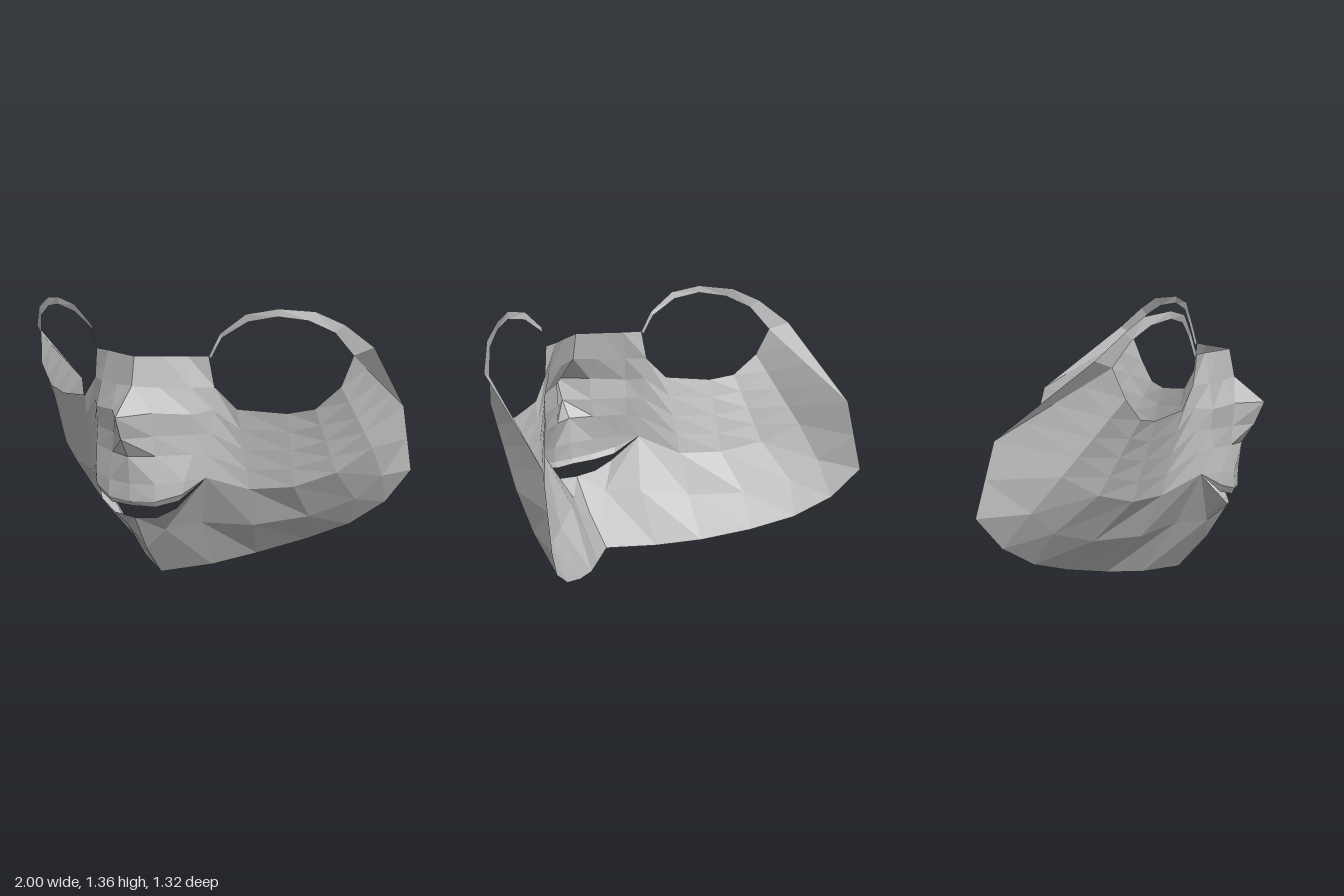
import * as THREE from 'three';

// Key lines on the model's left half (+x); everything is mirrored.
const corner = [0.315, 0.545, 0.343];
const sideTop = [0.98, 0.81, -0.574];
const crease = [0.107, 0.267, 0.375];
const chin = [0, 0.16, 0.375];
const base = [0, 0, 0.23];

const eyeLower = [[0.337, 0.984, 0.30], [0.433, 0.877, 0.25], [0.642, 0.855, 0.13], [0.76, 0.877, 0.065],
  [0.866, 0.985, 0.004], [0.904, 1.13, -0.054], [0.98, 1.166, -0.126]];
const cheekLow = [corner, [0.455, 0.465, 0.155], [0.636, 0.47, 0.025], [0.80, 0.53, -0.123],
  [0.925, 0.64, -0.28], sideTop, sideTop];
const jawMid = [[0.23, 0.285, 0.224], [0.43, 0.257, 0.054], [0.64, 0.28, -0.16], [0.82, 0.354, -0.33],
  [0.93, 0.47, -0.42], [0.99, 0.635, -0.617]];
const jawEdge = [[0.2, 0.02, 0.05], [0.37, 0.06, -0.12], [0.57, 0.12, -0.29], [0.75, 0.19, -0.43],
  [0.9, 0.3, -0.556], [1.0, 0.46, -0.66]];
const rimOuter = [[0.315, 1.134, 0.318], [0.358, 1.24, 0.29], [0.48, 1.337, 0.26], [0.62, 1.364, 0.2],
  [0.76, 1.347, 0.083], [0.877, 1.283, 0], [0.98, 1.166, -0.126]];
const rimInner = [[0.32, 1.12, 0.307], [0.364, 1.22, 0.28], [0.487, 1.3, 0.25], [0.62, 1.326, 0.2],
  [0.738, 1.305, 0.112], [0.84, 1.245, 0.03], [0.904, 1.13, -0.054]];

const lerp = (a, b, t) => a.map((v, i) => v + (b[i] - v) * t);
const blendRow = (t) => eyeLower.map((p, i) => lerp(p, cheekLow[i], t));
const cheekRows = [0, 0.25, 0.5, 0.75, 1].map(blendRow);

// Muzzle rows from the brow down, each from the centre line outwards.
const muzzleRows = [
  [[0, 1.134, 0.484], [0.12, 1.134, 0.42], [0.22, 1.134, 0.36], rimOuter[0]],
  [[0, 0.993, 0.51], [0.12, 0.985, 0.45], [0.25, 0.985, 0.38], cheekRows[0][0]],
  [[0, 0.863, 0.664], [0.11, 0.87, 0.51], [0.27, 0.86, 0.40], cheekRows[1][0]],
  [[0, 0.75, 0.614], [0.11, 0.755, 0.50], [0.27, 0.76, 0.39], cheekRows[2][0]],
  [[0, 0.657, 0.552], [0.12, 0.66, 0.495], [0.27, 0.665, 0.40], cheekRows[3][0]],
  [[0, 0.52, 0.535], [0.13, 0.525, 0.51], [0.25, 0.54, 0.44], corner],
  [[0, 0.433, 0.534], [0.13, 0.44, 0.515], [0.24, 0.475, 0.45], corner],
  [[0, 0.408, 0.516], [0.12, 0.41, 0.50], [0.22, 0.44, 0.44], corner],
];

// Faceted sheet through rows of points (top to bottom, inner to outer).
function sheet(rows, side) {
  const out = [];
  const tri = (...t) => {
    if (t[0] === t[1] || t[1] === t[2] || t[0] === t[2]) return;
    if (side < 0) t.reverse();
    for (const [x, y, z] of t) out.push(x * side, y, z);
  };
  for (let r = 0; r + 1 < rows.length; r++) {
    for (let c = 0; c + 1 < rows[r].length; c++) {
      const a = rows[r][c], b = rows[r + 1][c], d = rows[r + 1][c + 1], e = rows[r][c + 1];
      tri(a, b, d);
      tri(a, d, e);
    }
  }
  const g = new THREE.BufferGeometry();
  g.setAttribute('position', new THREE.Float32BufferAttribute(out, 3));
  g.computeVertexNormals();
  return g;
}

export function createModel() {
  const grey = new THREE.MeshStandardMaterial({ color: 0xc0c0c0, side: THREE.DoubleSide, flatShading: true });
  grey.name = 'grey';
  const model = new THREE.Group();
  model.name = 'mask';

  const parts = {
    Muzzle: muzzleRows,
    EyeRim: [rimOuter, rimInner],
    Cheek: cheekRows,
    Jaw: [cheekLow.slice(0, 6), jawMid, jawEdge],
    // front of the jaw beside the chin
    JawFront: [[corner, corner], [crease, jawMid[0]], [base, jawEdge[0]]],
    Chin: [[chin, crease], [base, base]],
    LowerLip: [[[0, 0.343, 0.49], [0.12, 0.355, 0.48], [0.21, 0.405, 0.45], corner],
      [chin, crease, crease, crease]],
  };
  for (const [name, rows] of Object.entries(parts)) {
    for (const side of [1, -1]) {
      const mesh = new THREE.Mesh(sheet(rows, side), grey);
      mesh.name = (side > 0 ? 'left' : 'right') + name;
      model.add(mesh);
    }
  }
  return model;
}
